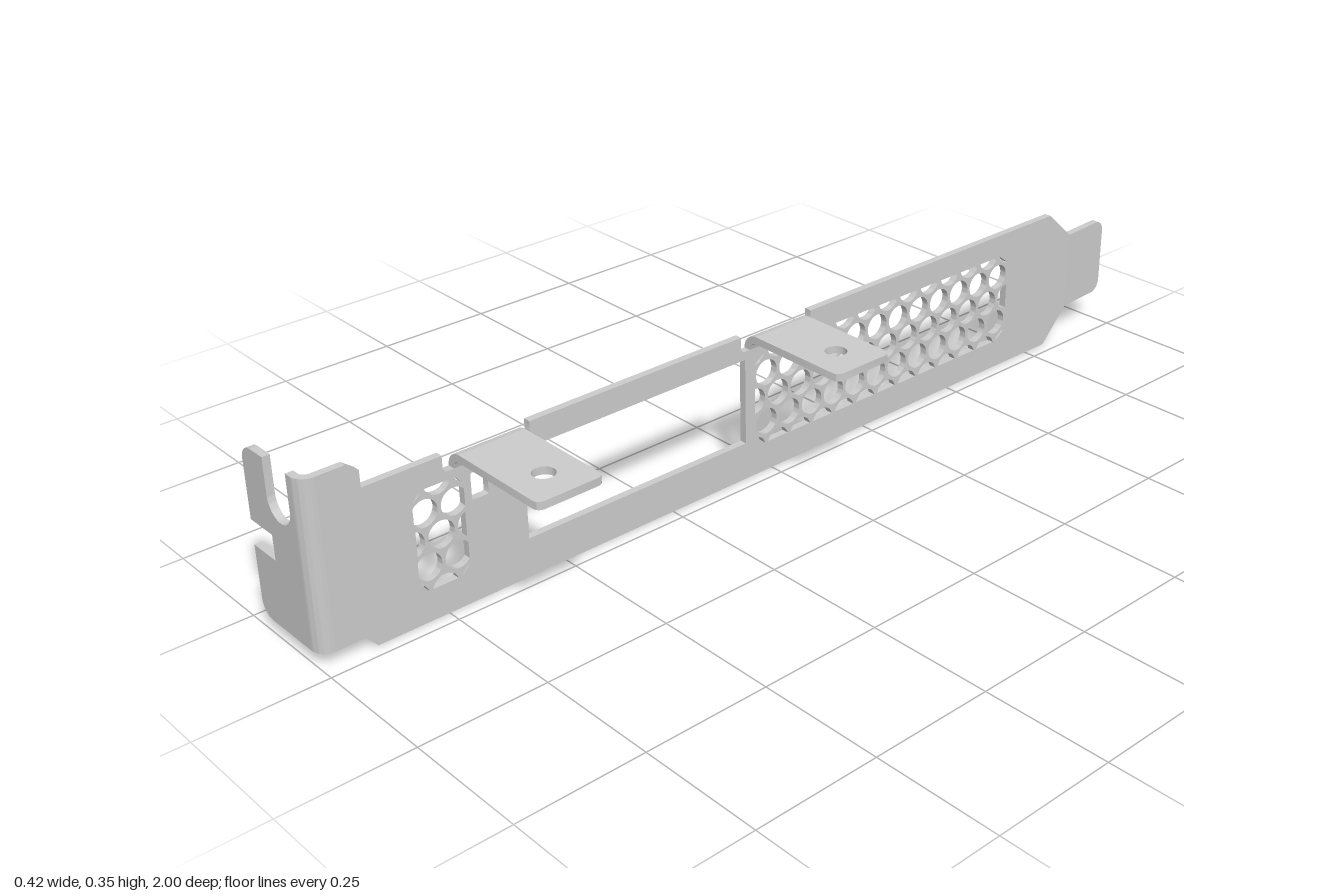
import * as THREE from 'three';
import { toCreasedNormals } from 'three/addons/utils/BufferGeometryUtils.js';

const T = 0.015;          // sheet thickness
const FACE = -0.027;      // +x face of the main plate
const BEND_Y = 0.271;     // height where the tabs start to bend
const steel = new THREE.MeshStandardMaterial({ color: 0xcccccc });

// Closed outline from [x, y, cornerRadius?] points
function outline(points, target = new THREE.Shape()) {
  const n = points.length;
  points.forEach(([x, y, r = 0], i) => {
    const p = new THREE.Vector2(x, y);
    const toward = (q, d) => new THREE.Vector2(q[0], q[1]).sub(p).setLength(d).add(p);
    const prev = points[(i + n - 1) % n], next = points[(i + 1) % n];
    const a = r ? toward(prev, r) : p;
    if (i === 0) target.moveTo(a.x, a.y);
    else target.lineTo(a.x, a.y);
    if (r) {
      const b = toward(next, r), c = toward(prev, r * 0.448), d = toward(next, r * 0.448);
      target.bezierCurveTo(c.x, c.y, d.x, d.y, b.x, b.y);
    }
  });
  target.closePath();
  return target;
}

const rect = (x0, x1, y0, y1, r = 0) =>
  outline([[x0, y0, r], [x1, y0, r], [x1, y1, r], [x0, y1, r]], new THREE.Path());

function extrude(shape, depth) {
  return new THREE.ExtrudeGeometry(shape, { depth, bevelEnabled: false, curveSegments: 10 });
}

function addMesh(parent, name, geometry) {
  const mesh = new THREE.Mesh(toCreasedNormals(geometry, 0.6), steel);
  mesh.name = name;
  parent.add(mesh);
  return mesh;
}

// Quarter ring cross-section for a sheet bend
function bendShape(cx, cy, inner, start, end) {
  const s = new THREE.Shape();
  s.absarc(cx, cy, inner + T, start, end, false);
  s.absarc(cx, cy, inner, end, start, true);
  s.closePath();
  return s;
}

// Staggered round holes trimmed to a rectangle
function addVent(shape, u0, u1, y0, y1) {
  const pitch = 0.0598, rowStep = 0.052, r = 0.0265, e = 0.0005;
  const midY = (y0 + y1) / 2, columns = Math.round((u1 - u0) / pitch);
  const midU = (u0 + u1) / 2;
  for (let row = -2; row <= 2; row++) {
    const odd = Math.abs(row) % 2;
    for (let c = -1; c <= columns + 1; c++) {
      const cu = midU + (c - columns / 2 + (odd ? 0.5 : 0)) * pitch;
      const cy = midY + row * rowStep;
      const pts = [];
      for (let k = 0; k < 48; k++) {
        const a = (k / 48) * Math.PI * 2;
        const u = cu + r * Math.cos(a), y = cy + r * Math.sin(a);
        if (u > u0 - e && u < u1 + e && y > y0 - e && y < y1 + e) pts.push(new THREE.Vector2(u, y));
      }
      if (pts.length > 7) shape.holes.push(new THREE.Path(pts));
    }
  }
}

export function createModel() {
  const group = new THREE.Group();
  group.name = 'expansionBracket';
  const tabCentres = [0.65, -0.0125];
  const tabHalf = 0.0675, notchHalf = 0.089;

  // Main plate, drawn with u = -z
  const top = 0.303;
  const points = [[-0.972, 0.025], [-0.915, 0.025], [-0.893, 0], [0.81, 0], [0.877, 0.072],
    [0.877, 0.24], [0.808, top]];
  for (const z of [...tabCentres].reverse()) {
    const u = -z;
    points.push([u + notchHalf, top], [u + notchHalf, BEND_Y, 0.008],
      [u - notchHalf, BEND_Y, 0.008], [u - notchHalf, top]);
  }
  points.push([-0.893, top], [-0.893, 0.335], [-0.917, 0.353], [-0.972, 0.353]);
  const plate = outline(points);

  // Connector window, two small slots and the vents
  plate.holes.push(rect(-0.577, -0.067, 0.077, 0.254));
  plate.holes.push(rect(-0.687, -0.653, 0.198, 0.25, 0.004));
  plate.holes.push(rect(-0.628, -0.594, 0.198, 0.25, 0.004));
  addVent(plate, -0.803, -0.702, 0.058, 0.258);
  addVent(plate, -0.043, 0.674, 0.058, 0.258);
  const plateGeo = extrude(plate, T);
  plateGeo.rotateY(Math.PI / 2).translate(FACE - T, 0, 0);
  addMesh(group, 'mainPlate', plateGeo);

  // Tail tongue, leaning slightly towards -x
  const tail = extrude(outline([[0.877, 0.072], [1, 0.072, 0.025], [1, 0.24, 0.025], [0.877, 0.24]]), T);
  tail.rotateY(Math.PI / 2).translate(FACE - T, 0, 0);
  const pos = tail.attributes.position;
  for (let i = 0; i < pos.count; i++) {
    pos.setX(i, pos.getX(i) + (pos.getZ(i) + 0.877) * 0.055);
  }
  tail.computeVertexNormals();
  addMesh(group, 'tailTongue', tail);

  // Bend joining plate and mounting flange
  const inner = 0.013, outer = inner + T;
  const cornerGeo = extrude(bendShape(FACE - outer, -(1 - outer), inner, -Math.PI / 2, 0), 0.328);
  cornerGeo.rotateX(-Math.PI / 2).translate(0, 0.025, 0);
  addMesh(group, 'flangeBend', cornerGeo);

  // Mounting flange with screw slot and side notch
  const flange = outline([
    [-0.208, 0.025, 0.03], [FACE - outer, 0.025], [FACE - outer, 0.353], [-0.068, 0.353],
    [-0.068, 0.246, 0.0359], [-0.14, 0.246, 0.0359], [-0.14, 0.353], [-0.208, 0.353, 0.03],
    [-0.208, 0.209], [-0.14, 0.209], [-0.14, 0.16], [-0.208, 0.16],
  ]);
  addMesh(group, 'mountingFlange', extrude(flange, T).translate(0, 0, 1 - T));

  // Two folded tabs with screw holes
  const tabInner = 0.017, tabX = FACE + tabInner;
  for (const z of tabCentres) {
    const tab = new THREE.Group();
    tab.name = 'boardTab';
    tab.position.z = z;
    const bend = extrude(bendShape(tabX, BEND_Y, tabInner, Math.PI / 2, Math.PI), tabHalf * 2);
    addMesh(tab, 'tabBend', bend.translate(0, 0, -tabHalf));
    const leaf = outline([[tabX, -tabHalf], [0.207, -tabHalf, 0.014], [0.207, tabHalf, 0.014], [tabX, tabHalf]]);
    leaf.holes.push(new THREE.Path().absarc(0.133, 0, 0.021, 0, Math.PI * 2, true));
    const leafGeo = extrude(leaf, T);
    leafGeo.rotateX(-Math.PI / 2).translate(0, BEND_Y + tabInner, 0);
    addMesh(tab, 'tabLeaf', leafGeo);
    group.add(tab);
  }
  return group;
}
